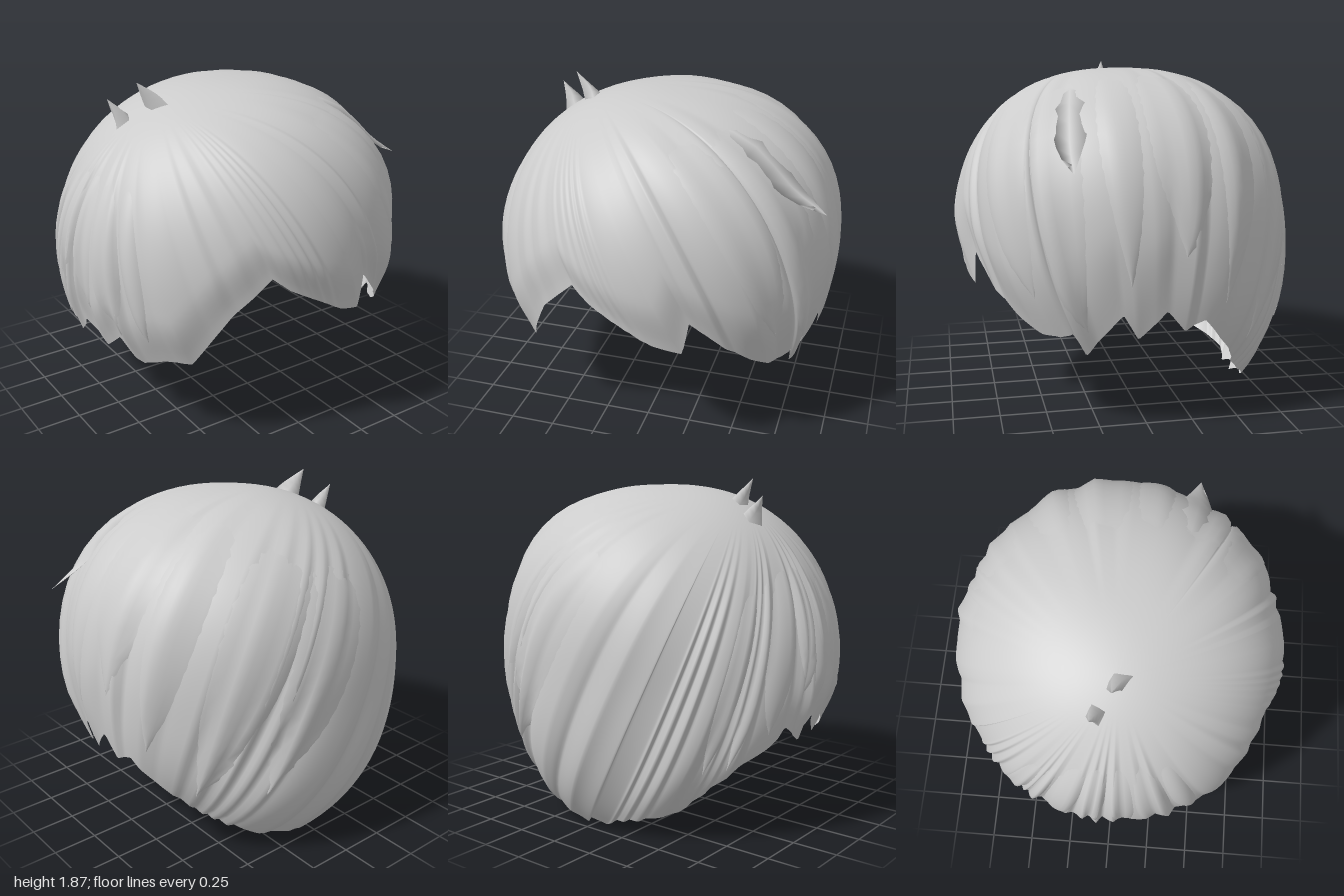
import * as THREE from 'three';

const MAT = new THREE.MeshStandardMaterial({ color: 0xcccccc, side: THREE.DoubleSide });
const CENTRE = new THREE.Vector3(0, 0.88, 0);
const CROWN = new THREE.Vector3(-0.44, 0.88, 0.02).normalize();
const RX = 0.97, RZ = 0.945, UP = 0.965;
const { smoothstep, lerp, degToRad } = THREE.MathUtils;

// Lower edge of the hair: azimuth in degrees (0 front, 90 left side), height
const HEM = [
  [-180, 0.05], [-173, 0.02], [-166, 0.07], [-155, 0.1], [-140, 0.15], [-129, 0.29], [-118, 0.43],
  [-110, 0.5], [-103, 0.6], [-95, 0.5], [-88, 0.62], [-80, 0.48], [-72, 0.58], [-63, 0.44],
  [-54, 0.5], [-44, 0.51], [-31, 0.82], [-18, 1.02], [-12, 0.94], [0, 0.83], [9, 0.74], [19, 0.69],
  [21, 0.88], [33, 0.7], [43, 0.58], [52, 0.5], [58, 0.49], [63, 0.52], [67, 0.39], [80, 0.64],
  [85, 0.5], [94, 0.66], [100, 0.55], [107, 0.6], [115, 0.47], [122, 0.38], [129, 0.27],
  [139, 0.18], [156, 0.075], [168, 0.055], [176, 0.01], [180, 0.05],
];

function hemHeight(deg) {
  const d = ((deg + 540) % 360) - 180;
  const k = Math.max(1, HEM.findIndex(p => p[0] >= d));
  const [a, b] = [HEM[k - 1], HEM[k]];
  return lerp(a[1], b[1], (d - a[0]) / (b[0] - a[0]));
}

// Roundness and vertical radius of the head form: softer shoulder on the crown
// side, sides tucked in below, nape long
function form(x, y, z) {
  const h = Math.hypot(x, z) || 1;
  return y > 0
    ? [2.4 - 0.22 * smoothstep(-x / h, -0.2, 0.9), UP]
    : [2.4, lerp(1.12, 0.93, smoothstep(z / h, -1, -0.5))];
}

// Distance from the centre to the head form along a unit direction
function reach(d) {
  const [p, b] = form(d.x, d.y, d.z);
  const h = Math.hypot(d.x / RX, d.z / RZ), v = Math.abs(d.y) / b;
  return Math.pow(Math.pow(h, p) + Math.pow(v, p), -1 / p);
}

// Uneven strands: varying width and depth, one flank steeper than the other
function strand(a) {
  const u = (a * 34) / (2 * Math.PI) + 0.9 * Math.sin(3 * a) + 0.6 * Math.sin(5 * a + 1) + 0.3 * Math.sin(11 * a);
  const f = u - Math.floor(u);
  const tooth = f < 0.65 ? f / 0.65 : (1 - f) / 0.35;
  const depth = 0.65 + 0.35 * Math.sin(4 * a + 2) * Math.sin(7 * a);
  const soft = 0.35 + 0.65 * smoothstep(Math.abs(Math.sin(a / 2)), 0.15, 0.5);
  return soft * depth * (0.05 * tooth - 0.025) + 0.006 * Math.sin(7 * a + 1);
}

// Point on the hair: combed from the crown (t = 0) to the hem (t = 1)
function hairPoint(deg, t, lift = 0) {
  const a = degToRad(deg), sx = Math.sin(a), cz = Math.cos(a);
  const v = hemHeight(deg) - CENTRE.y;
  const [p, b] = form(sx, v, cz);
  const k = Math.pow(1 - Math.pow(Math.abs(v) / b, p), 1 / p);
  const end = new THREE.Vector3(sx * RX * k, v, cz * RZ * k).normalize();
  const w = CROWN.angleTo(end);
  const d = CROWN.clone().multiplyScalar(Math.sin((1 - t) * w) / Math.sin(w))
    .addScaledVector(end, Math.sin(t * w) / Math.sin(w)).normalize();
  const ripple = strand(a) * smoothstep(t, 0.15, 0.75) * (1 - 0.6 * smoothstep(t, 0.8, 1));
  const tuck = 0.04 * smoothstep(t, 0.8, 1) * smoothstep(cz, -0.5, 0.3);
  return d.multiplyScalar(reach(d) * (1 + ripple - tuck) + lift).add(CENTRE);
}

// Smooth surface through a grid of points
function gridMesh(name, nu, nv, closed, fn) {
  const pos = [], idx = [], cols = closed ? nu : nu + 1;
  for (let i = 0; i < cols; i++)
    for (let j = 0; j <= nv; j++) pos.push(...fn(i / nu, j / nv).toArray());
  for (let i = 0; i < nu; i++)
    for (let j = 0; j < nv; j++) {
      const a = i * (nv + 1) + j, b = ((i + 1) % cols) * (nv + 1) + j;
      idx.push(a, a + 1, b, b, a + 1, b + 1);
    }
  const g = new THREE.BufferGeometry();
  g.setAttribute('position', new THREE.Float32BufferAttribute(pos, 3));
  g.setIndex(idx);
  g.computeVertexNormals();
  const mesh = new THREE.Mesh(g, MAT);
  mesh.name = name;
  return mesh;
}

// Overlapping lock lying on the hair, narrowing to a point
function layerLock(deg, width, t0, t1) {
  return gridMesh('layerLock', 8, 14, false, (u, v) => {
    const s = 2 * u - 1;
    const w = width * (1 - Math.pow(v, 4));
    const lift = 0.022 * (1 - s * s) * Math.sin(Math.PI * (0.04 + 0.86 * v)) - 0.004;
    return hairPoint(deg + s * w, lerp(t0, t1, v), lift);
  });
}

// Free tuft with a flat diamond section, tapering to its tip
function tuft(name, points, width, thick) {
  const curve = new THREE.CatmullRomCurve3(points.map(p => new THREE.Vector3(...p)));
  return gridMesh(name, 4, 8, true, (u, v) => {
    const p = curve.getPoint(v), tan = curve.getTangent(v);
    const side = tan.clone().cross(p.clone().sub(CENTRE)).normalize();
    const out = side.clone().cross(tan).normalize();
    const taper = 1 - v, a = u * 2 * Math.PI;
    return p.addScaledVector(side, -Math.cos(a) * width * taper)
      .addScaledVector(out, Math.sin(a) * thick * taper);
  });
}

export function createModel() {
  const hair = new THREE.Group();
  hair.name = 'hair';

  // Main shell, open underneath
  hair.add(gridMesh('hairShell', 480, 36, true, (u, v) => hairPoint(u * 360 - 180, v)));

  // Layered locks around both sides
  const locks = new THREE.Group();
  locks.name = 'layerLocks';
  for (const side of [-1, 1])
    for (let k = 0; k < 7; k++)
      locks.add(layerLock(side * (56 + k * 14), 7 + 2 * Math.sin(k * 2.3 + side), 0.35, 0.9 + 0.06 * Math.sin(k * 1.7)));
  hair.add(locks);

  // Stray lock flicking out at the front left
  hair.add(tuft('strayLock',
    [[0.15, 1.76, 0.28], [0.5, 1.675, 0.35], [0.76, 1.46, 0.39], [0.93, 1.36, 0.4]], 0.2, 0.04));

  // Two small tufts standing up at the crown
  hair.add(tuft('crownTuft', [[-0.56, 1.56, -0.06], [-0.61, 1.68, -0.08], [-0.68, 1.79, -0.1]], 0.09, 0.1));
  hair.add(tuft('crownTuft', [[-0.4, 1.66, 0.04], [-0.47, 1.77, 0.02], [-0.555, 1.88, 0]], 0.08, 0.12));

  return hair;
}
